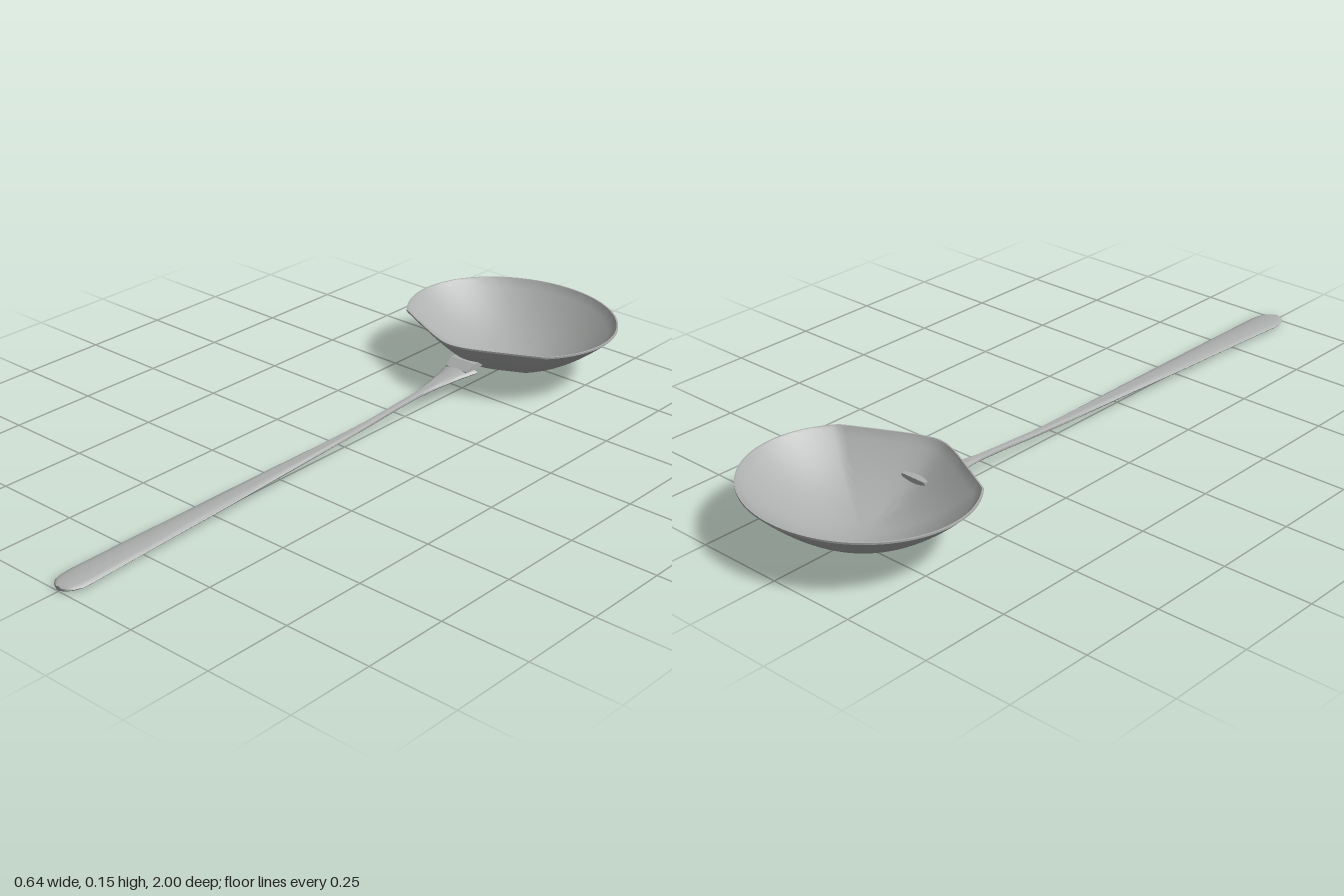
import * as THREE from 'three';
import { toCreasedNormals } from 'three/addons/utils/BufferGeometryUtils.js';

const steel = new THREE.MeshStandardMaterial({ color: 0xacafad });
steel.name = 'steel';

// Skins a list of closed rings and caps both ends with a fan.
function loft(rings, crease) {
  const n = rings[0].length;
  const pos = rings.flat(2);
  const index = [];
  for (let i = 0; i < rings.length - 1; i++) {
    for (let j = 0; j < n; j++) {
      const a = i * n + j, b = i * n + (j + 1) % n;
      index.push(a, b, a + n, b, b + n, a + n);
    }
  }
  const addCap = (ring, start, flip) => {
    const c = pos.length / 3;
    for (let k = 0; k < 3; k++) pos.push(ring.reduce((s, p) => s + p[k], 0) / n);
    for (let j = 0; j < n; j++) {
      const a = start + j, b = start + (j + 1) % n;
      if (flip) index.push(c, b, a);
      else index.push(c, a, b);
    }
  };
  addCap(rings[0], 0, true);
  addCap(rings[rings.length - 1], (rings.length - 1) * n, false);
  const g = new THREE.BufferGeometry();
  g.setAttribute('position', new THREE.Float32BufferAttribute(pos, 3));
  g.setIndex(index);
  return toCreasedNormals(g, crease);
}

function addPart(group, name, geometry) {
  const mesh = new THREE.Mesh(geometry, steel);
  mesh.name = name;
  group.add(mesh);
}

// Rim outline: an ellipse whose front is cut to a blunt point.
function rimPoint(theta) {
  const x = 0.318 * Math.sin(theta);
  let z = 0.28 * Math.cos(theta);
  if (z > 0 && Math.abs(x) < 0.25) {
    const u = Math.abs(x) / 0.25;
    z = 0.28 - 0.108 * (Math.sqrt(u * u + 0.04) - 0.2) / 0.82;
  }
  return [x, z];
}

function bowlGeometry() {
  const segments = 96, steps = 16;
  const profile = [];
  // outside, from the base up to the rim
  for (let i = 0; i <= steps; i++) {
    const t = Math.max(i / steps, 0.01);
    profile.push([t, 0.006 + 0.146 * t * t]);
  }
  profile.push([1, 0.157], [0.985, 0.157]);
  // inside, from the rim down to the base
  for (let i = steps; i >= 0; i--) {
    const t = Math.max(i / steps, 0.01);
    profile.push([t * 0.975, 0.014 + 0.138 * t * t]);
  }
  const rings = profile.map(([t, y]) => Array.from({ length: segments }, (_, j) => {
    const [x, z] = rimPoint(j / segments * Math.PI * 2);
    return [x * t, y, -0.72 + z * t];
  }));
  return loft(rings, 0.5);
}

function handleGeometry() {
  // z, half width, centre height, half thickness
  const stations = [
    [-0.5, 0.053, 0.066, 0.011], [-0.44, 0.035, 0.061, 0.010],
    [-0.37, 0.021, 0.056, 0.009], [-0.3, 0.011, 0.051, 0.008],
    [-0.2, 0.010, 0.045, 0.008], [-0.1, 0.011, 0.038, 0.008],
    [0, 0.014, 0.034, 0.008], [0.25, 0.023, 0.029, 0.008],
    [0.5, 0.032, 0.023, 0.008], [0.75, 0.039, 0.018, 0.008],
    [0.93, 0.044, 0.013, 0.009], [0.96, 0.042, 0.012, 0.009],
    [0.98, 0.035, 0.012, 0.008], [0.993, 0.024, 0.011, 0.007],
    [1, 0.010, 0.011, 0.006],
  ];
  const sides = 16;
  const rings = stations.map(([z, w, y, h]) => Array.from({ length: sides }, (_, j) => {
    const a = j / sides * Math.PI * 2;
    return [w * Math.cos(a), y + h * Math.sin(a), z];
  }));
  return loft(rings, 0.7);
}

// Flat tab joining the handle to the bowl; its end breaks through the bowl floor.
function tabGeometry() {
  const ring = (z, y, w, h) => [
    [w, y - h, z], [w, y + h, z], [-w, y + h, z], [-w, y - h, z],
  ];
  return loft([
    ring(-0.54, 0.081, 0.04, 0.008),
    ring(-0.5, 0.08, 0.042, 0.009),
    ring(-0.47, 0.068, 0.036, 0.005),
  ], 0.4);
}

export function createModel() {
  const group = new THREE.Group();
  group.name = 'ladle';
  addPart(group, 'bowl', bowlGeometry());
  addPart(group, 'handle', handleGeometry());
  addPart(group, 'joiningTab', tabGeometry());
  return group;
}
